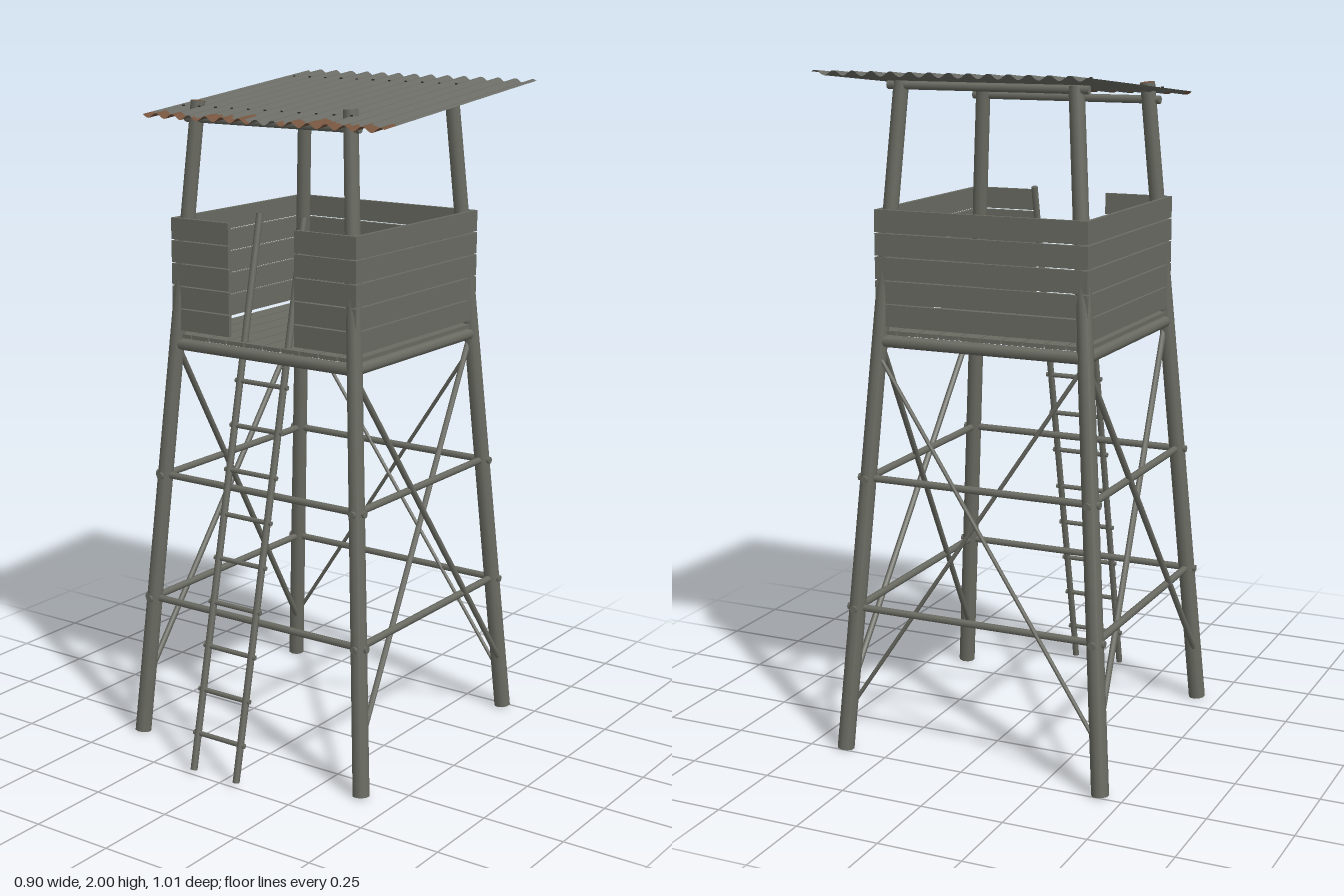
import * as THREE from 'three';

const wood = new THREE.MeshStandardMaterial({ color: 0x6a6b62 });
wood.name = 'weathered wood';
const sheet = new THREE.MeshStandardMaterial({ color: 0x696a63, side: THREE.DoubleSide, flatShading: true });
sheet.name = 'grey sheet metal';
const rust = new THREE.MeshStandardMaterial({ color: 0x74533d, side: THREE.DoubleSide, flatShading: true });
rust.name = 'rust';
const dark = new THREE.MeshStandardMaterial({ color: 0x30302d });
dark.name = 'dark screw';

const CX = -0.02, CZ = -0.075;              // tower axis
const half = (y) => 0.41 - 0.0735 * y;      // legs lean inwards
const legPoint = (sx, sz, y, extra = 0) =>
  new THREE.Vector3(CX + sx * (half(y) + extra), y, CZ + sz * (half(y) + extra));

// Round pole between two points
function pole(name, a, b, r0, r1 = r0, sides = 8, material = wood) {
  const geo = new THREE.CylinderGeometry(r1, r0, a.distanceTo(b), sides);
  const mesh = new THREE.Mesh(geo, material);
  mesh.name = name;
  mesh.position.copy(a).add(b).multiplyScalar(0.5);
  mesh.quaternion.setFromUnitVectors(new THREE.Vector3(0, 1, 0), b.clone().sub(a).normalize());
  return mesh;
}

function box(name, w, h, d, x, y, z, material = wood) {
  const mesh = new THREE.Mesh(new THREE.BoxGeometry(w, h, d), material);
  mesh.name = name;
  mesh.position.set(x, y, z);
  return mesh;
}

function group(name, parent) {
  const g = new THREE.Group();
  g.name = name;
  parent.add(g);
  return g;
}

// Corrugated roof surface
const ROOF = { x0: -0.375, x1: 0.45, z0: -0.485, z1: 0.335, pitch: 0.0589 };
const roofBase = (z) => 1.912 + 0.08 * (ROOF.z1 - z) / (ROOF.z1 - ROOF.z0);
const roofY = (x, z) => roofBase(z) + 0.0075 * Math.cos((x + 0.327) / ROOF.pitch * Math.PI * 2);

// Depth of the ragged rust edge: [start x, depth]
const rustSteps = [
  [-0.375, 0.046], [-0.31, 0.038], [-0.26, 0.044], [-0.225, 0], [-0.2, 0.022], [-0.17, 0.045],
  [-0.14, 0.07], [-0.13, 0.042], [-0.095, 0], [-0.09, 0.04], [-0.06, 0.068], [-0.02, 0.02],
  [0.01, 0], [0.095, 0.03], [0.14, 0.045], [0.21, 0.085], [0.235, 0.045], [0.29, 0.03],
  [0.33, 0.048], [0.4, 0.055], [0.44, 0.065],
];
function rustDepth(x, i) {
  let d = 0;
  for (const [start, depth] of rustSteps) if (x >= start) d = depth;
  return d && d + 0.006 * Math.sin(i * 2.3);
}

function buildRoof(parent) {
  const roof = group('roof', parent);
  const clean = [], rusty = [];
  const quad = (list, xa, xb, za, zb) => {
    const p = (x, z) => [x, roofY(x, z), z];
    list.push(...p(xa, za), ...p(xa, zb), ...p(xb, zb), ...p(xa, za), ...p(xb, zb), ...p(xb, za));
  };
  const n = 112;
  for (let i = 0; i < n; i++) {
    const xa = ROOF.x0 + (ROOF.x1 - ROOF.x0) * i / n;
    const xb = ROOF.x0 + (ROOF.x1 - ROOF.x0) * (i + 1) / n;
    const d = rustDepth((xa + xb) / 2, i);
    quad(clean, xa, xb, ROOF.z0, ROOF.z1 - d);
    if (d > 0) quad(rusty, xa, xb, ROOF.z1 - d, ROOF.z1);
  }
  for (const [name, list, mat] of [['corrugatedSheet', clean, sheet], ['rustyEdge', rusty, rust]]) {
    const geo = new THREE.BufferGeometry();
    geo.setAttribute('position', new THREE.Float32BufferAttribute(list, 3));
    geo.computeVertexNormals();
    const mesh = new THREE.Mesh(geo, mat);
    mesh.name = name;
    roof.add(mesh);
  }
  // Screws on the ridges
  for (const z of [-0.34, 0.21])
    for (let k = 0; k < 11; k++) {
      const x = -0.327 + k * ROOF.pitch;
      roof.add(box('screw', 0.007, 0.004, 0.004, x, roofY(x, z) + 0.001, z, dark));
    }
  // Beams carrying the sheet
  for (const [z, y] of [[0.2, 1.897], [-0.345, 1.955]])
    roof.add(pole('roofBeam', new THREE.Vector3(CX - 0.305, y, z), new THREE.Vector3(CX + 0.305, y, z), 0.012));
}

function buildFrame(parent) {
  const frame = group('frame', parent);
  // Legs, the front pair pokes through the roof with bare tops
  for (const sx of [-1, 1])
    for (const sz of [-1, 1])
      frame.add(pole('leg', legPoint(sx, sz, 0.004), legPoint(sx, sz, sz > 0 ? 1.948 : 1.965),
        0.0255, 0.022, 10, sz > 0 ? [wood, rust, wood] : wood));

  // Horizontal poles on all four sides
  const corners = [[-1, 1], [1, 1], [1, -1], [-1, -1]];
  for (const [y, r, over] of [[0.44, 0.011, 0.03], [0.83, 0.011, 0.03], [1.233, 0.018, 0.0]])
    corners.forEach(([sx, sz], i) => {
      const [tx, tz] = corners[(i + 1) % 4];
      const a = legPoint(sx, sz, y), b = legPoint(tx, tz, y);
      const dir = b.clone().sub(a).normalize().multiplyScalar(over);
      frame.add(pole(y > 1 ? 'floorBeam' : 'rail', a.sub(dir), b.add(dir), r));
    });

  // Crossed braces on the two sides and the back
  for (const [[ax, az], [bx, bz], r] of [
    [[1, 1], [1, -1], 0.009], [[-1, -1], [-1, 1], 0.009], [[1, -1], [-1, -1], 0.006]]) {
    frame.add(pole('brace', legPoint(ax, az, 1.21, 0.008), legPoint(bx, bz, 0.14, 0.008), r));
    frame.add(pole('brace', legPoint(bx, bz, 1.21, -0.008), legPoint(ax, az, 0.14, -0.008), r));
  }
}

function buildCabin(parent) {
  const cabin = group('cabin', parent);
  const W = 0.327;
  // Floor boards running front to back
  const boards = 10, bw = 2 * W / boards;
  for (let i = 0; i < boards; i++)
    cabin.add(box('floorBoard', bw - 0.005, 0.012, 2 * W - 0.01, CX - W + bw * (i + 0.5), 1.258, CZ));

  // Plank walls, with an entrance gap in the front
  for (let i = 0; i < 5; i++) {
    const y = 1.308 + i * 0.0675, h = 0.0635, t = 0.012;
    for (const s of [-1, 1])
      cabin.add(box('sidePlank', t, h, 2 * W - 0.014, CX + s * (W - t / 2), y, CZ));
    cabin.add(box('backPlank', 2 * W, h, t, CX, y, CZ - W + t / 2));
    for (const s of [-1, 1])
      cabin.add(box('frontPlank', 0.21, h, t, CX + s * (W - 0.105), y, CZ + W - t / 2));
  }
}

function buildLadder(parent) {
  const ladder = group('ladder', parent);
  const z = (y) => 0.493 - 0.214 * (y - 0.015);
  const at = (x, y) => new THREE.Vector3(x, y, z(y));
  for (const x of [-0.1, 0.057]) ladder.add(pole('ladderRail', at(x, 0.015), at(x, 1.63), 0.0105));
  for (let i = 0; i < 9; i++) {
    const y = 0.124 + i * 0.1285;
    ladder.add(pole('rung', at(-0.115, y), at(0.072, y), 0.0075));
  }
}

export function createModel() {
  const tower = new THREE.Group();
  tower.name = 'lookoutTower';
  buildFrame(tower);
  buildCabin(tower);
  buildLadder(tower);
  buildRoof(tower);
  return tower;
}
